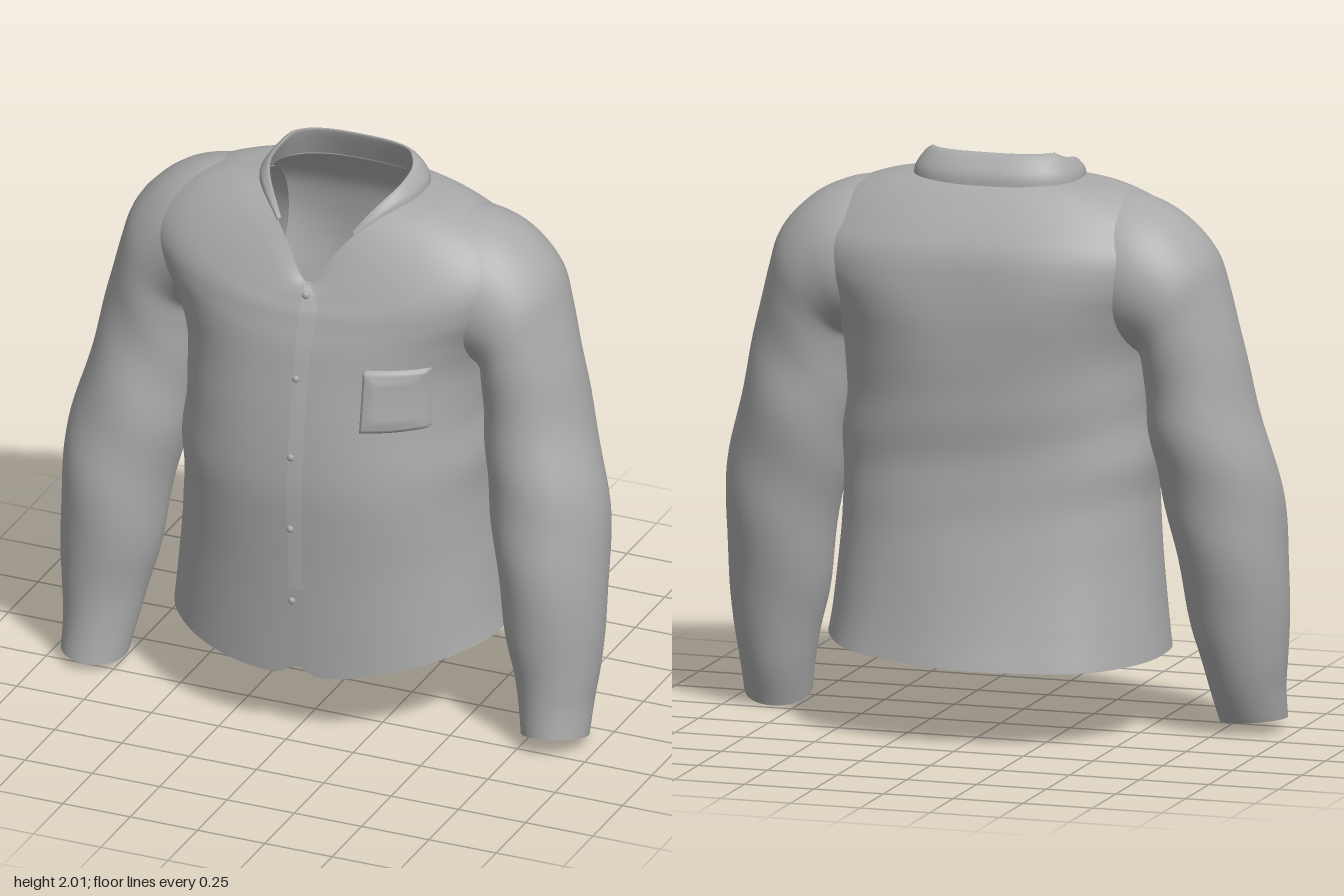
import * as THREE from 'three';

const cloth = new THREE.MeshStandardMaterial({ color: 0xaaaaaa, side: THREE.DoubleSide });
cloth.name = 'grey cloth';

// Torso rings: y, half width, front z, back z, front drop, roundness, front point
const TORSO = [
  [0.29, 0.59, 0.46, -0.49, 0.075, 2.2, 0],
  [0.40, 0.575, 0.465, -0.455, 0.03, 2.2, 0],
  [0.60, 0.555, 0.475, -0.41, 0, 2.2, 0],
  [0.78, 0.54, 0.485, -0.375, 0, 2.3, 0],
  [0.95, 0.545, 0.49, -0.36, 0, 2.3, 0],
  [1.15, 0.53, 0.47, -0.37, 0, 2.3, 0],
  [1.33, 0.54, 0.44, -0.385, 0, 2.3, 0],
  [1.47, 0.595, 0.42, -0.40, 0.03, 2.25, 0],
  [1.58, 0.67, 0.40, -0.395, 0.07, 2.2, 0],
  [1.68, 0.69, 0.385, -0.37, 0.12, 2.2, 0],
  [1.77, 0.63, 0.37, -0.315, 0.18, 2.2, 0],
  [1.84, 0.53, 0.355, -0.26, 0.22, 2.3, 0.2],
  [1.885, 0.41, 0.34, -0.22, 0.245, 2.4, 0.5],
  [1.905, 0.28, 0.32, -0.19, 0.255, 2.6, 0.72],
];

// Sleeve sections: outer x, y, inner x, y, front z, back z
const SLEEVE = [
  [0.30, 1.86, 0.30, 1.42, 0.20, -0.21],
  [0.44, 1.872, 0.41, 1.36, 0.235, -0.265],
  [0.56, 1.847, 0.47, 1.34, 0.245, -0.285],
  [0.67, 1.785, 0.51, 1.33, 0.235, -0.28],
  [0.765, 1.68, 0.53, 1.31, 0.225, -0.265],
  [0.81, 1.55, 0.535, 1.25, 0.22, -0.245],
  [0.855, 1.38, 0.54, 1.15, 0.215, -0.225],
  [0.90, 1.17, 0.55, 1.02, 0.23, -0.22],
  [0.965, 0.93, 0.575, 0.86, 0.265, -0.19],
  [0.995, 0.70, 0.615, 0.66, 0.29, -0.155],
  [0.995, 0.45, 0.65, 0.42, 0.29, -0.10],
  [0.985, 0.27, 0.69, 0.25, 0.275, -0.055],
  [0.97, 0.15, 0.715, 0.13, 0.275, -0.02],
  [0.965, 0.035, 0.735, 0.015, 0.285, 0.03],
];

// Smooth interpolation between rows of a table
function rowAt(rows, t) {
  const last = rows.length - 1;
  const i = Math.min(Math.floor(t), last - 1);
  const f = t - i;
  const r = (k) => rows[Math.max(0, Math.min(last, k))];
  return rows[i].map((p1, c) => {
    const p0 = r(i - 1)[c], p2 = r(i + 1)[c], p3 = r(i + 2)[c];
    return p1 + 0.5 * f * (p2 - p0 + f * (2 * p0 - 5 * p1 + 4 * p2 - p3 + f * (3 * (p1 - p2) + p3 - p0)));
  });
}

// Grid surface from point(u, v), with u and v in 0..1; closed joins u
function surface(name, nu, nv, closed, point) {
  const cols = closed ? nu : nu + 1;
  const pos = [], index = [];
  for (let j = 0; j <= nv; j++)
    for (let i = 0; i < cols; i++) pos.push(...point(i / nu, j / nv));
  for (let j = 0; j < nv; j++)
    for (let i = 0; i < nu; i++) {
      const a = j * cols + i, b = j * cols + ((i + 1) % cols);
      index.push(a, b, b + cols, a, b + cols, a + cols);
    }
  const g = new THREE.BufferGeometry();
  g.setAttribute('position', new THREE.Float32BufferAttribute(pos, 3));
  g.setIndex(index);
  g.computeVertexNormals();
  const mesh = new THREE.Mesh(g, cloth);
  mesh.name = name;
  return mesh;
}

const TOP = TORSO.length - 1;
const bump = (v, centre, width) => Math.exp(-(((v - centre) / width) ** 2));

// Point on the torso: angle runs from the front centre toward +x
function torsoPoint(angle, t) {
  const [y, w, zf, zb, drop, n, tip] = rowAt(TORSO, t);
  const s = Math.sin(angle), c = Math.cos(angle);
  const front = Math.max(0, c), back = Math.max(0, -c);
  const bend = (v) => Math.sign(v) * Math.abs(v) ** (2 / n);
  // soft waist folds, a slightly wavy hem and a hollow along the upper spine
  const fold = 0.008 * Math.sin(y * 24 + 2.5 * s) * bump(y, 1.0, 0.25) * (1 - front);
  const wave = 0.012 * Math.cos(8 * angle) * Math.max(0, 1 - t / 3) * back;
  const spine = 0.06 * back * bump(s, 0, 0.3) * bump(y, 1.55, 0.2);
  const k = 1 + fold + wave - spine;
  // uneven hem with a small notch where the fronts meet
  const hem = Math.max(0, 1 - t) * (0.02 * s - 0.02 * back + 0.04 * front * bump(s, 0.03, 0.06));
  return [
    w * bend(s) * (1 - tip * front * front) * k,
    y - drop * front ** 3 + hem,
    (c > 0 ? zf : -zb) * bend(c) * k,
  ];
}

// Depth of the front at a given place, found from the front centre line
function frontZ(x, y) {
  let lo = 0, hi = TOP;
  for (let i = 0; i < 30; i++) {
    const mid = (lo + hi) / 2;
    const row = rowAt(TORSO, mid);
    if (row[0] - row[4] < y) lo = mid; else hi = mid;
  }
  const [, w, zf, , , n] = rowAt(TORSO, lo);
  return zf * Math.max(0, 1 - Math.abs(x / w) ** n) ** (1 / n);
}

function sleeve(side) {
  return surface(side > 0 ? 'leftSleeve' : 'rightSleeve', 40, 65, true, (u, v) => {
    const [ox, oy, ix, iy, zf, zb] = rowAt(SLEEVE, v * (SLEEVE.length - 1));
    const a = side * u * Math.PI * 2;
    const c = Math.cos(a), s = Math.sin(a) * side;
    // gentle creases around the elbow
    const k = 1 + 0.02 * Math.sin(v * 42 + 2 * a) * bump(v, 0.62, 0.18);
    // the two cuffs hang at slightly different angles
    const cuff = Math.max(0, v * 5 - 4);
    const tilt = (side > 0 ? 0.035 : -0.008) * s * cuff;
    const forward = side > 0 ? 0 : 0.02 * cuff;
    return [
      side * ((ox + ix) / 2 + ((ox - ix) / 2) * c * k),
      (oy + iy) / 2 + ((oy - iy) / 2) * c * k + tilt,
      (zf + zb) / 2 + ((zf - zb) / 2) * s * side * k * side + forward,
    ];
  });
}

export function createModel() {
  const shirt = new THREE.Group();
  shirt.name = 'shirt';

  shirt.add(surface('torso', 144, 78, true, (u, v) => torsoPoint(u * Math.PI * 2, v * TOP)));
  shirt.add(sleeve(1), sleeve(-1));

  // Collar: a folded band round the neck, fading out toward the front
  const section = [[0.016, -0.035, 0], [0.012, 0, 0.25], [-0.02, 0, 0.8], [-0.042, 0, 1], [-0.05, 0, 0.9], [-0.006, -0.02, 0]];
  shirt.add(surface('collar', 64, 20, false, (u, v) => {
    const a = 0.8 + u * (Math.PI * 2 - 1.6);
    const [x, y, z] = torsoPoint(a, TOP);
    const [out, dy, h] = rowAt(section, v * (section.length - 1));
    const fade = Math.min(1, Math.min(u, 1 - u) / 0.25);
    const reach = out * (0.2 + 0.8 * fade);
    return [x + reach * Math.sin(a), y + dy + h * (0.01 + 0.082 * fade), z + reach * Math.cos(a)];
  }));

  // Placket: raised edge of the front overlap
  shirt.add(surface('placket', 4, 50, false, (u, v) => {
    const [x, y, z] = torsoPoint(0.002 + u * 0.07, 1.8 + v * (TOP - 2.3));
    return [x, y, z + 0.008 * (1 - u)];
  }));

  // Chest pocket: a puffed patch following the chest
  shirt.add(surface('chestPocket', 24, 24, false, (u, v) => {
    const x = 0.24 + 0.21 * u, y = 1.17 + 0.23 * v;
    const edge = Math.min(u, 1 - u, v, 1 - v);
    const puff = edge === 0 ? -0.004 : 0.012 + 0.012 * Math.min(1, edge * 5);
    return [x, y, frontZ(x, y) + puff];
  }));

  // Buttons
  for (const y of [1.62, 1.34, 1.06, 0.79, 0.51]) {
    const button = new THREE.Mesh(new THREE.SphereGeometry(0.013, 16, 10), cloth);
    button.name = 'button';
    button.scale.z = 0.7;
    button.position.set(0.013, y, frontZ(0.013, y) + 0.01);
    shirt.add(button);
  }
  return shirt;
}
